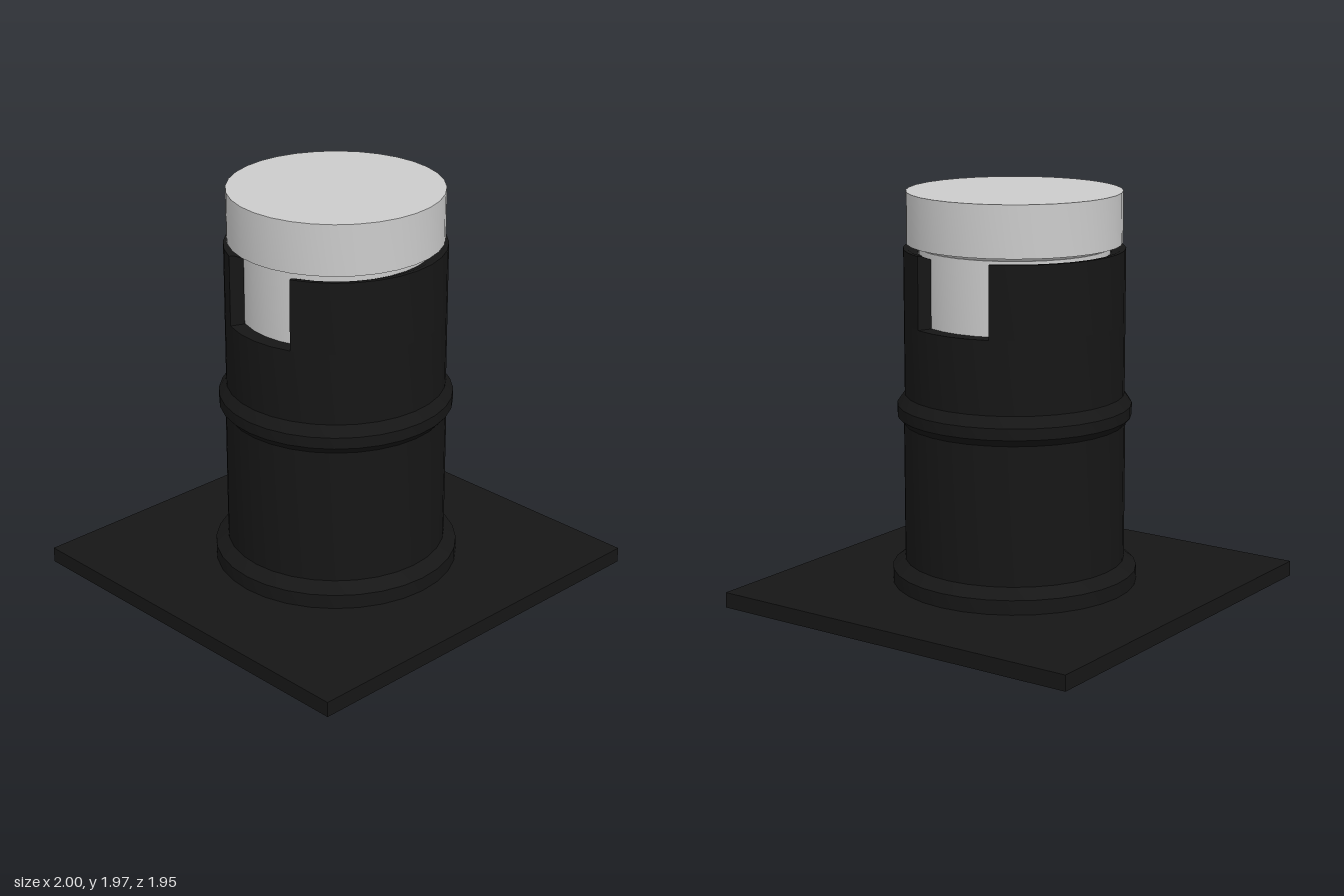
import * as THREE from 'three';
import { toCreasedNormals } from 'three/addons/utils/BufferGeometryUtils.js';

const SIDES = 32;
const black = new THREE.MeshStandardMaterial({ color: 0x161616 });
const blackThin = new THREE.MeshStandardMaterial({ color: 0x161616, side: THREE.DoubleSide });
const grey = new THREE.MeshStandardMaterial({ color: 0xcccccc });

const toPoints = (profile) => profile.map(([r, y]) => new THREE.Vector2(r, y));

// Turned part from [radius, height] pairs listed bottom to top, with crisp edges
function turned(name, profile, material, start = 0, sweep = Math.PI * 2) {
  const segments = Math.round((SIDES * sweep) / (Math.PI * 2));
  const geometry = new THREE.LatheGeometry(toPoints(profile), segments, start, sweep);
  const mesh = new THREE.Mesh(toCreasedNormals(geometry, 0.4), material);
  mesh.name = name;
  return mesh;
}

export function createModel() {
  const model = new THREE.Group();
  model.name = 'cappedPost';

  // Square base plate
  const plate = new THREE.Mesh(new THREE.BoxGeometry(2, 0.075, 1.95), black);
  plate.name = 'basePlate';
  plate.position.y = 0.0375;
  model.add(plate);

  // Tube with a flared foot and a raised collar, up to the notch floor
  model.add(turned('tubeBody', [
    [0, 0.07], [0.59, 0.07], [0.59, 0.145], [0.53, 0.19],
    [0.53, 0.86], [0.56, 0.895], [0.56, 0.95], [0.525, 1.0],
    [0.525, 1.35], [0, 1.35],
  ], black));

  // Two curved upper walls, leaving a notch at each side; rim is countersunk
  const wall = [[0.455, 1.35], [0.525, 1.35], [0.525, 1.695], [0.505, 1.695], [0.455, 1.675], [0.455, 1.35]];
  const halfSweep = Math.PI * 0.375;
  const section = new THREE.ShapeGeometry(new THREE.Shape(toPoints(wall)));
  for (const [name, centre] of [['frontWall', 0], ['backWall', Math.PI]]) {
    const group = new THREE.Group();
    group.name = name;
    group.add(turned(name + 'Shell', wall, black, centre - halfSweep, halfSweep * 2));
    // Flat notch cheeks closing both ends of the wall
    for (const side of [-1, 1]) {
      const cheek = new THREE.Mesh(section, blackThin);
      cheek.name = 'notchCheek';
      cheek.rotation.y = centre + side * halfSweep - Math.PI / 2;
      group.add(cheek);
    }
    model.add(group);
  }

  // Cap with a tapered underside and a plug inside the tube
  model.add(turned('capPlug', [[0, 1.34], [0.452, 1.34], [0.452, 1.7], [0, 1.7]], grey));
  model.add(turned('cap', [
    [0, 1.695], [0.44, 1.695], [0.48, 1.72], [0.51, 1.72], [0.51, 1.965], [0, 1.965],
  ], grey));

  return model;
}
